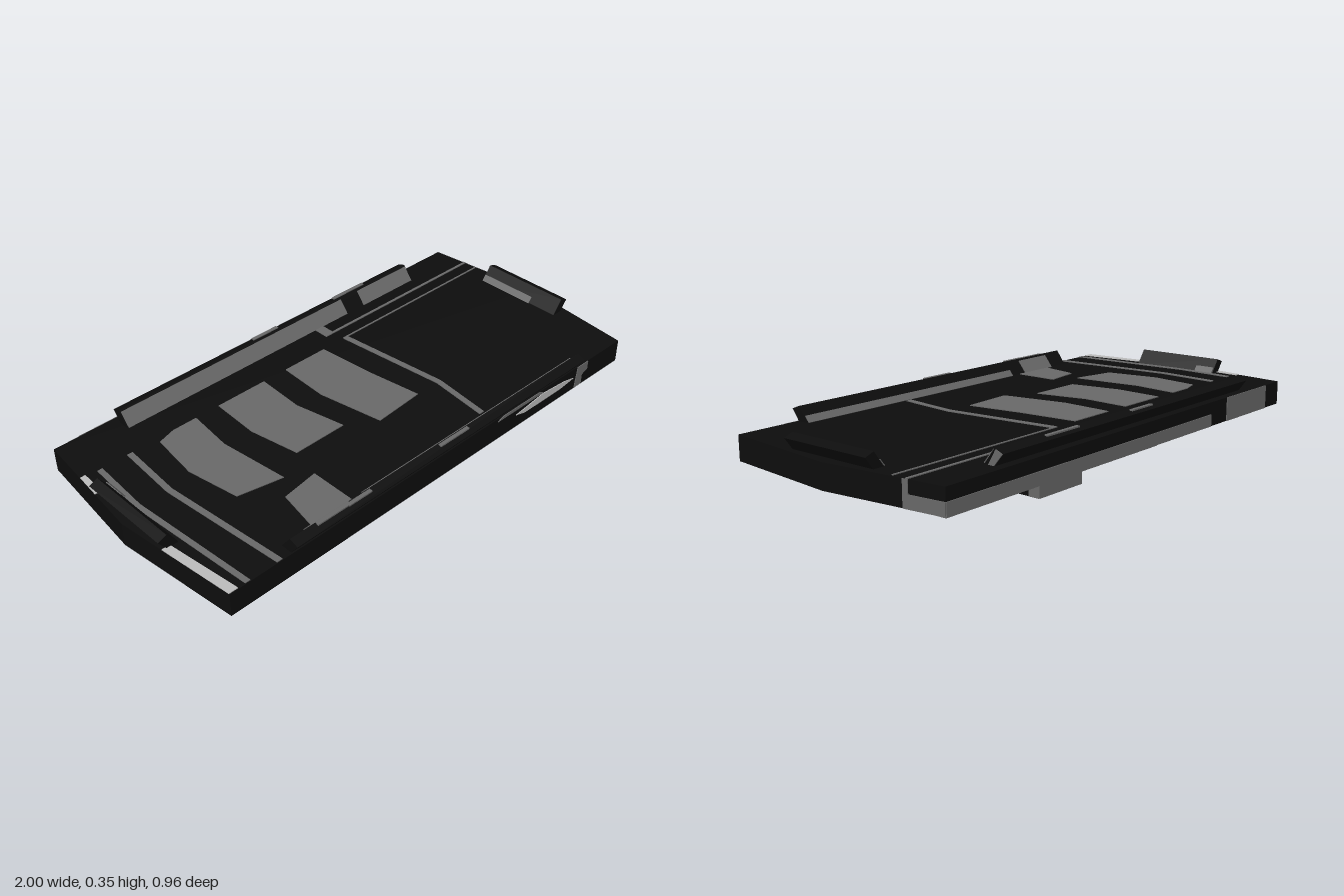
import * as THREE from 'three';

const paint = (name, color) => {
  const m = new THREE.MeshStandardMaterial({ color });
  m.name = name;
  return m;
};

export function createModel() {
  const black = paint('black', 0x0d0d0d);
  const grey = paint('grey', 0x686868);
  const light = paint('light grey', 0xbcbcbc);
  const model = new THREE.Group();
  const BASE = 0.21, TOP = 0.3, SKIN = 0.003;

  const extrude = (pts, depth) => new THREE.ExtrudeGeometry(
    new THREE.Shape(pts.map(p => new THREE.Vector2(...p))), { depth, bevelEnabled: false });

  const add = (parent, name, geometry, material) => {
    const mesh = new THREE.Mesh(geometry, material);
    mesh.name = name;
    parent.add(mesh);
    return mesh;
  };

  // Upright prism over an (x, z) outline
  const prism = (name, pts, y0, y1, material) =>
    add(model, name, extrude(pts, y1 - y0).rotateX(Math.PI / 2).translate(0, y1, 0), material);
  const block = (name, x0, x1, y0, y1, z0, z1, material) =>
    prism(name, [[x0, z0], [x1, z0], [x1, z1], [x0, z1]], y0, y1, material);
  const topPlate = (name, pts, material) => prism(name, pts, TOP, TOP + SKIN, material);

  // Slab with pointed ends, on a square post
  prism('slab', [[-0.95, -0.478], [0.95, -0.478], [1, -0.015], [0.95, 0.453], [-0.95, 0.453], [-1, -0.015]],
    BASE, TOP, black);
  block('post', -0.123, 0.12, 0, BASE, -0.134, 0.112, black);

  // Leaning flaps: outward and up in profile, extruded along the edge
  const flap = (name, x, z, turn, length, inner) => {
    const g = new THREE.Group();
    g.name = name;
    g.position.set(x, TOP, z);
    g.rotation.y = turn;
    add(g, name + 'Panel',
      extrude([[0, -0.005], [0.043, -0.005], [0.077, 0.041], [0.043, 0.054]], length).translate(0, 0, -length / 2), black);
    // Strips on the inner face, from t0 to t1 up the slope
    for (const [t0, t1, l0, l1] of inner) {
      const p = (t, o) => [0.043 * t - 0.782 * o, 0.054 * t + 0.623 * o];
      add(g, name + 'Strip',
        extrude([p(t0, 0), p(t1, 0), p(t1, SKIN), p(t0, SKIN)], l1 - l0).translate(0, 0, l0), grey);
    }
    model.add(g);
    return g;
  };
  flap('frontFlap', 0, 0.4, -Math.PI / 2, 1.407, [[0, 0.4, -0.7, 0.36], [0, 0.85, 0.44, 0.61]]);
  const backFlap = flap('backFlap', 0, -0.398, Math.PI / 2, 1.407, [[0, 0.9, -0.7, 0.34], [0, 0.9, 0.43, 0.7]]);
  flap('leftFlap', 0.91, -0.012, 0, 0.365, [[0, 0.4, -0.18, 0.06]]);
  flap('rightFlap', -0.917, -0.012, Math.PI, 0.365, [[0, 0.4, 0.1, 0.18]]);
  add(backFlap, 'backFlapEnd',
    extrude([[0.02, 0], [0.043, 0], [0.077, 0.041], [0.05, 0.052]], SKIN).translate(0, 0, 0.7035), grey);

  // Panels on the top
  const panels = [
    [[-0.67, -0.26], [-0.6, -0.28], [-0.5, -0.28], [-0.52, -0.1], [-0.49, 0.17], [-0.66, 0.135], [-0.695, -0.07]],
    [[-0.4, -0.28], [-0.19, -0.28], [-0.2, -0.09], [-0.16, 0.105], [-0.375, 0.105], [-0.41, -0.09]],
    [[-0.085, -0.28], [0.105, -0.28], [0.125, -0.05], [0.155, 0.16], [-0.05, 0.175], [-0.095, -0.08]],
    [[-0.55, 0.245], [-0.405, 0.225], [-0.405, 0.4], [-0.58, 0.4]],
  ];
  panels.forEach(p => topPlate('topPanel', p, grey));

  // Thin bent lines on the top
  const bentLine = (pts, w) => topPlate('topLine',
    [...pts.map(([x, z]) => [x - w, z]), ...pts.map(([x, z]) => [x + w, z]).reverse()], grey);
  bentLine([[-0.9, -0.28], [-0.915, -0.05], [-0.878, 0.45]], 0.01);
  bentLine([[-0.78, -0.28], [-0.797, -0.04], [-0.752, 0.45]], 0.011);
  bentLine([[0.22, -0.28], [0.264, 0.16], [0.237, 0.39]], 0.011);
  for (const [x0, x1, z0, z1] of [[0.17, 0.965, -0.345, -0.335], [0.21, 0.965, -0.286, -0.28], [0.17, 0.21, -0.4, -0.335]])
    topPlate('topLine', [[x0, z0], [x1, z0], [x1, z1], [x0, z1]], grey);

  // Light edging at the right end
  topPlate('edging', [[-0.97, -0.29], [-0.95, -0.29], [-0.955, -0.19], [-0.981, -0.19]], light);
  topPlate('edging', [[-0.981, 0.165], [-0.95, 0.165], [-0.915, 0.45], [-0.95, 0.45]], light);

  // Small marks on the flap rims
  for (const [x, z, w] of [[-0.53, 0.45, 0.14], [-0.42, 0.453, 0.1], [0.02, 0.453, 0.14], [-0.03, -0.457, 0.12], [0.4, -0.457, 0.16]])
    block('rimMark', x - w / 2, x + w / 2, 0.349, 0.354, z - 0.007, z + 0.007, grey);

  // Bands on the back wall
  block('backBand', -0.45, 0.95, BASE, 0.255, -0.478 - SKIN, -0.478, grey);
  block('backPatch', -0.85, -0.56, BASE, TOP, -0.478 - SKIN, -0.478, grey);

  // Patches on the left end wall
  const wallX = z => 0.95 + 0.05 * (z + 0.478) / 0.463;
  const endPatch = (z0, z1, y0, y1) => prism('endPatch',
    [[wallX(z0), z0], [wallX(z0) + SKIN, z0], [wallX(z1) + SKIN, z1], [wallX(z1), z1]], y0, y1, grey);
  endPatch(-0.478, -0.325, BASE, 0.255);
  endPatch(-0.345, -0.325, 0.255, TOP);

  // Bright streak and patches on the front wall
  const front = (name, pts, z, material) => add(model, name, extrude(pts, SKIN).translate(0, 0, z), material);
  front('frontStreak', [[0.35, 0.265], [0.4, 0.252], [0.6, 0.252], [0.68, 0.262], [0.62, 0.275], [0.5, 0.285]], 0.453, light);
  front('frontPatch', [[0.25, 0.288], [0.5, 0.288], [0.48, 0.3], [0.28, 0.3]], 0.453, grey);
  front('frontPatch', [[0.69, 0.215], [0.73, 0.215], [0.73, 0.255], [0.76, 0.265], [0.76, 0.3], [0.7, 0.3]], 0.453, grey);

  // Post details
  add(model, 'postDot', new THREE.CylinderGeometry(0.024, 0.024, SKIN, 16).rotateX(Math.PI / 2)
    .translate(0.065, 0.115, 0.1135), light);
  block('postSidePatch', 0.12, 0.12 + SKIN, 0, 0.095, -0.134, -0.086, grey);
  block('postBackPatch', -0.123, 0.12, 0, 0.1, -0.134 - SKIN, -0.134, grey);

  // Underside band and centre lines
  block('undersideBand', -0.1, 0.95, BASE - SKIN, BASE, -0.478, -0.37, grey);
  block('undersideLine', 0.05, 0.09, BASE - SKIN, BASE, 0.19, 0.45, grey);
  block('undersideLine', -0.05, 0, BASE - SKIN, BASE, -0.36, -0.24, grey);

  return model;
}
